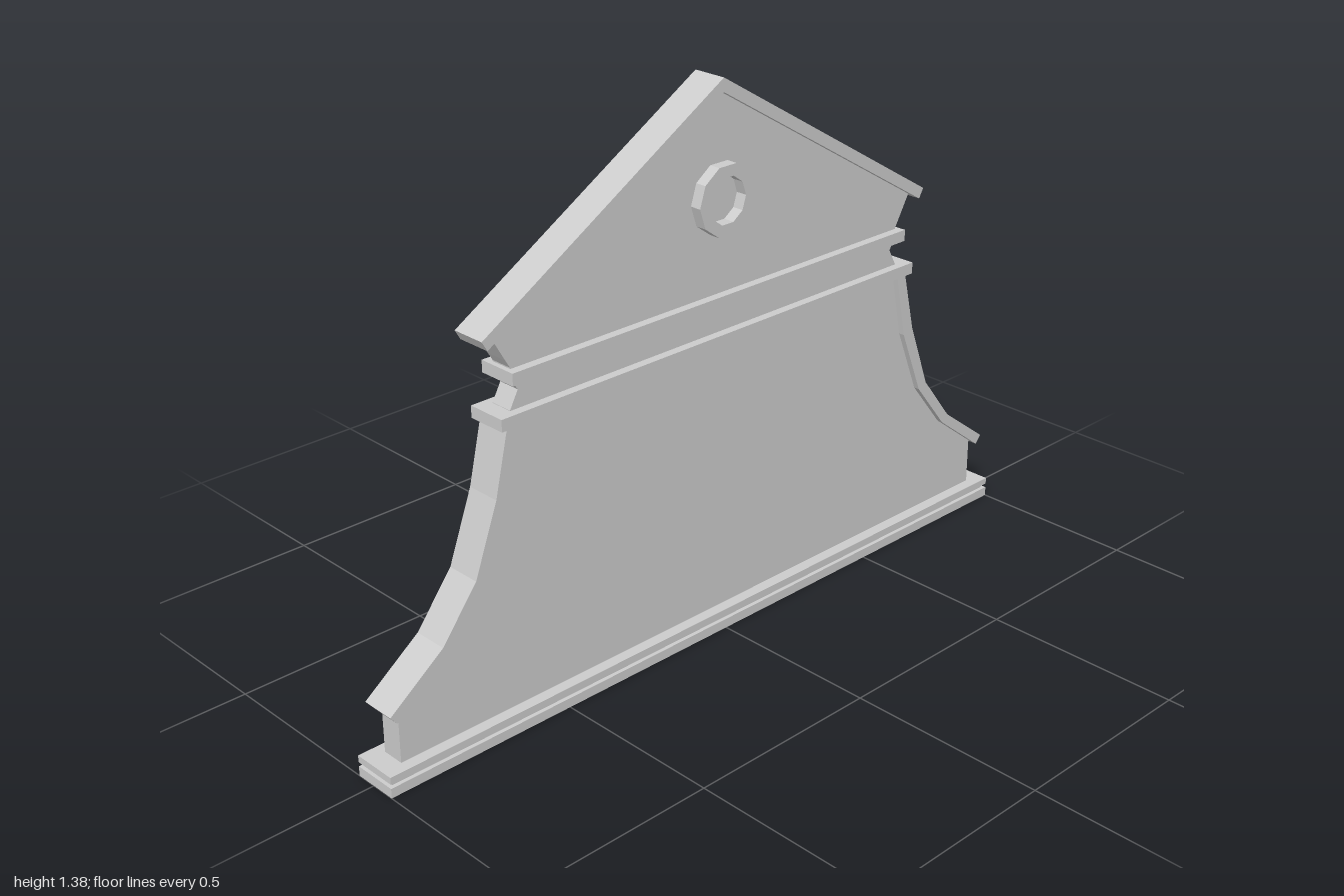
import * as THREE from 'three';

const ZC = 0.006; // mid-plane of the wall

export function createModel() {
  const model = new THREE.Group();
  const material = new THREE.MeshStandardMaterial({ color: 0xcccccc, flatShading: true });

  function add(name, geometry, parent = model) {
    const mesh = new THREE.Mesh(geometry, material);
    mesh.name = name;
    parent.add(mesh);
    return mesh;
  }
  // Box given by its limits on each axis
  function box(name, x0, x1, y0, y1, z0, z1, parent) {
    const mesh = add(name, new THREE.BoxGeometry(x1 - x0, y1 - y0, z1 - z0), parent);
    mesh.position.set((x0 + x1) / 2, (y0 + y1) / 2, (z0 + z1) / 2);
    return mesh;
  }
  const toShape = (points) => new THREE.Shape(points.map(([x, y]) => new THREE.Vector2(x, y)));
  const mirror = (points) => points.map(([x, y]) => [-x, y]).reverse();
  function slab(name, shape, z0, z1, parent) {
    const geometry = new THREE.ExtrudeGeometry(shape, { depth: z1 - z0, bevelEnabled: false });
    geometry.translate(0, 0, z0);
    return add(name, geometry, parent);
  }
  const rectangle = (x0, x1, y0, y1) => [[x0, y0], [x1, y0], [x1, y1], [x0, y1]];
  function frame(name, outer, inner, z0, z1, parent) {
    const shape = toShape(rectangle(...outer));
    shape.holes.push(toShape(rectangle(...inner)));
    return slab(name, shape, z0, z1, parent);
  }

  // Stepped plinth
  const plinth = new THREE.Group();
  plinth.name = 'plinth';
  model.add(plinth);
  box('plinthBottom', -1, 1, 0, 0.024, ZC - 0.058, ZC + 0.058, plinth);
  box('plinthGroove', -0.99, 0.99, 0.024, 0.035, ZC - 0.048, ZC + 0.048, plinth);
  box('plinthTop', -1, 1, 0.035, 0.052, ZC - 0.058, ZC + 0.058, plinth);

  // Wall silhouette: sweeping sides, waisted neck and flared gable
  const sweepOuter = [[0.98, 0.185], [0.834, 0.294], [0.738, 0.417], [0.674, 0.588], [0.636, 0.75]];
  const sweepInner = [[0.963, 0.164], [0.813, 0.278], [0.711, 0.406], [0.642, 0.578], [0.607, 0.75]];
  const wallRight = [
    [0.95, 0.04], [0.95, 0.18],
    ...sweepInner.slice(1).map(([x, y]) => [x + 0.008, y + 0.005]),
    [0.615, 0.773], [0.592, 0.815], [0.608, 0.84],
    [0.61, 0.87], [0.622, 0.89], [0.658, 0.953],
  ];
  slab('wall', toShape([...wallRight, [0, 1.352], ...mirror(wallRight)]), ZC - 0.029, ZC + 0.029);

  // Coping along the sweeping sides
  const coping = [...sweepOuter, ...sweepInner.slice().reverse()];
  slab('leftCoping', toShape(coping), ZC - 0.0445, ZC + 0.0445);
  slab('rightCoping', toShape(mirror(coping)), ZC - 0.0445, ZC + 0.0445);

  // Horizontal mouldings
  box('lowerMoulding', -0.656, 0.656, 0.743, 0.772, ZC - 0.051, ZC + 0.051);
  box('upperMoulding', -0.622, 0.622, 0.838, 0.867, ZC - 0.051, ZC + 0.051);

  // Raking cornice of the gable
  slab('gableCornice', toShape([
    [0.679, 0.933], [0.693, 0.957], [0, 1.375], [-0.693, 0.957], [-0.679, 0.933], [0, 1.342],
  ]), ZC - 0.0445, ZC + 0.0445);

  // Ten-sided ring on both faces of the gable
  const decagon = (r) => Array.from({ length: 10 }, (_, i) =>
    [r * Math.cos(i * Math.PI / 5), 1.096 + r * Math.sin(i * Math.PI / 5)]);
  const ring = toShape(decagon(0.086));
  ring.holes.push(toShape(decagon(0.057)));
  slab('gableRing', ring, ZC - 0.06, ZC + 0.058);

  // Window on the back
  const windowGroup = new THREE.Group();
  windowGroup.name = 'window';
  model.add(windowGroup);
  frame('outerFrame', [-0.203, 0.203, 0.067, 0.595], [-0.165, 0.165, 0.105, 0.557], -0.064, -0.02, windowGroup);
  frame('innerFrame', [-0.17, 0.17, 0.1, 0.562], [-0.155, 0.155, 0.115, 0.547], -0.052, -0.02, windowGroup);
  box('mullion', -0.015, 0.015, 0.11, 0.552, -0.05, -0.02, windowGroup);
  box('transom', -0.16, 0.16, 0.316, 0.346, -0.05, -0.02, windowGroup);
  box('glass', -0.16, 0.16, 0.11, 0.552, -0.027, -0.02, windowGroup);

  // Four sashes, each with two by three panes
  for (const side of [-1, 1]) {
    for (const [y0, y1] of [[0.115, 0.316], [0.346, 0.547]]) {
      const x0 = side > 0 ? 0.015 : -0.155;
      const x1 = x0 + 0.14;
      frame('sash', [x0, x1, y0, y1], [x0 + 0.013, x1 - 0.013, y0 + 0.013, y1 - 0.013], -0.043, -0.02, windowGroup);
      const xm = (x0 + x1) / 2;
      box('verticalBar', xm - 0.006, xm + 0.006, y0, y1, -0.039, -0.02, windowGroup);
      for (let i = 1; i < 3; i++) {
        const y = y0 + (y1 - y0) * i / 3;
        box('horizontalBar', x0, x1, y - 0.006, y + 0.006, -0.0385, -0.02, windowGroup);
      }
    }
  }
  return model;
}
